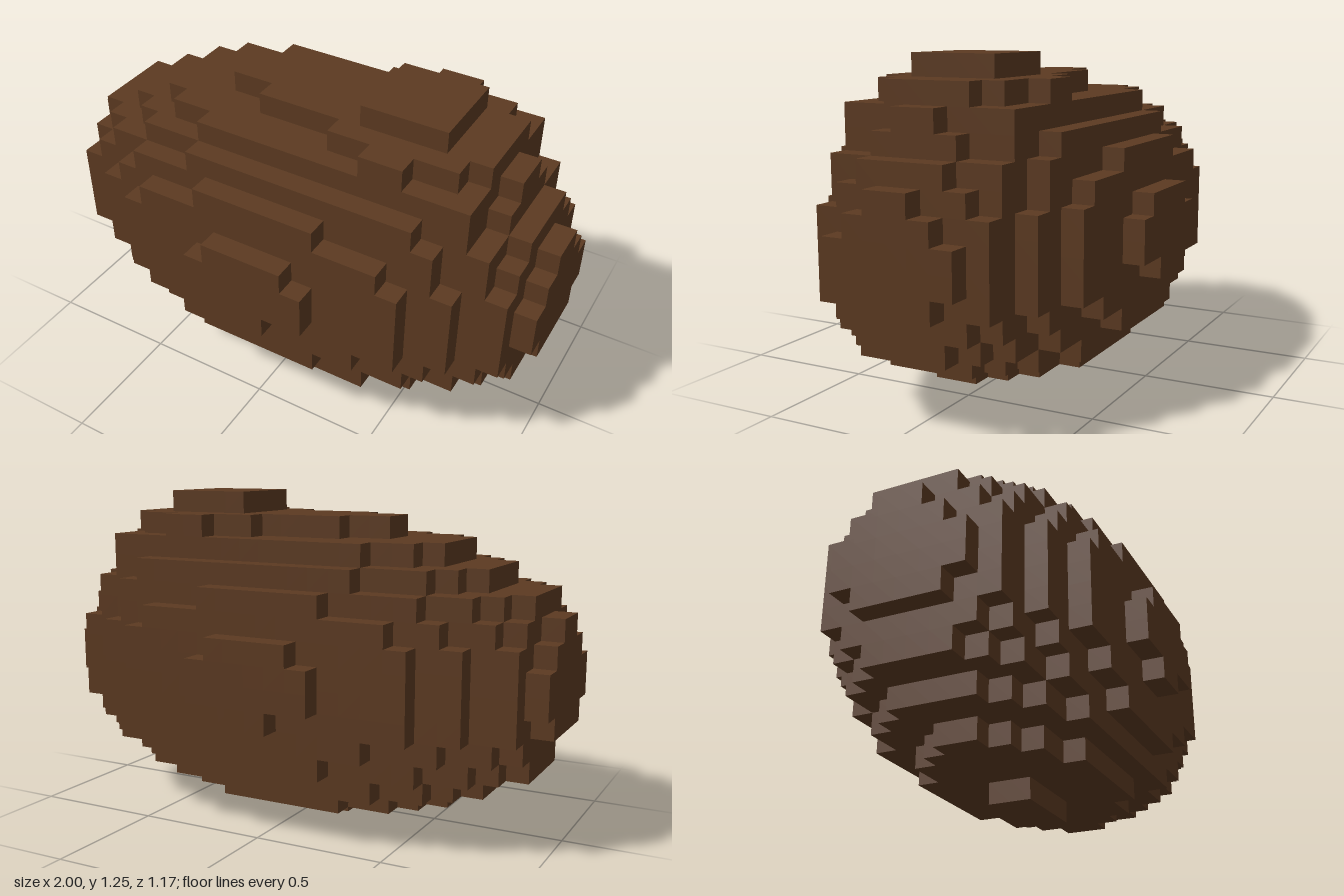
import * as THREE from 'three';

const UNIT = 1 / 12;

// Courses of blocks from bottom to top: reach toward -x and +x
// for each block step away from the middle in z (mirrored front to back).
const same = (...reach) => ({ left: reach, right: reach });
const courses = [
  same(2),
  same(7, 6, 5, 3),
  same(9, 9, 8, 7, 5),
  same(11, 11, 10, 9, 7, 3),
  same(11, 11, 11, 10, 8, 5),
  same(12, 12, 11, 11, 9, 7, 1),
  same(12, 12, 12, 11, 9, 7, 3),
  same(12, 12, 12, 11, 9, 7, 3),
  same(12, 12, 11, 11, 9, 7, 2),
  same(12, 11, 11, 10, 8, 6),
  { left: [11, 11, 10, 9, 7, 3], right: [11, 11, 10, 10, 8, 3] },
  { left: [9, 9, 8, 7, 4], right: [10, 10, 9, 9, 7] },
  { left: [7, 7, 6, 4], right: [10, 9, 9, 9] },
  { left: [4, 2, -2, -4], right: [9, 9, 8, 6] },
  { left: [-3, -3], right: [7, 7] },
];

// True where a block exists
function filled([x, y, z]) {
  const course = courses[y];
  const step = z < 0 ? -z - 1 : z;
  return !!course && step < course.left.length && x >= -course.left[step] && x < course.right[step];
}

// Adds one square block face on the given axis and side
function addFace(positions, cell, axis, sign) {
  const u = (axis + 1) % 3, v = (axis + 2) % 3;
  const square = [[0, 0], [1, 0], [1, 1], [0, 1]];
  if (sign < 0) square.reverse();
  const corners = square.map(([a, b]) => {
    const p = [...cell];
    p[axis] += sign > 0 ? 1 : 0;
    p[u] += a;
    p[v] += b;
    return p.map((n) => n * UNIT);
  });
  for (const i of [0, 1, 2, 0, 2, 3]) positions.push(...corners[i]);
}

// Outer skin of the stacked blocks
function blockGeometry() {
  const positions = [];
  for (let y = 0; y < courses.length; y++)
    for (let z = -7; z < 7; z++)
      for (let x = -12; x < 12; x++) {
        const cell = [x, y, z];
        if (!filled(cell)) continue;
        for (let axis = 0; axis < 3; axis++)
          for (const sign of [-1, 1]) {
            const neighbour = [...cell];
            neighbour[axis] += sign;
            if (!filled(neighbour)) addFace(positions, cell, axis, sign);
          }
      }
  const geometry = new THREE.BufferGeometry();
  geometry.setAttribute('position', new THREE.Float32BufferAttribute(positions, 3));
  geometry.computeVertexNormals();
  return geometry;
}

export function createModel() {
  const brown = new THREE.MeshStandardMaterial({ color: 0x5c3a21 });
  brown.name = 'brown';
  const body = new THREE.Mesh(blockGeometry(), brown);
  body.name = 'blockBody';
  const model = new THREE.Group();
  model.name = 'blockBoulder';
  model.add(body);
  return model;
}
